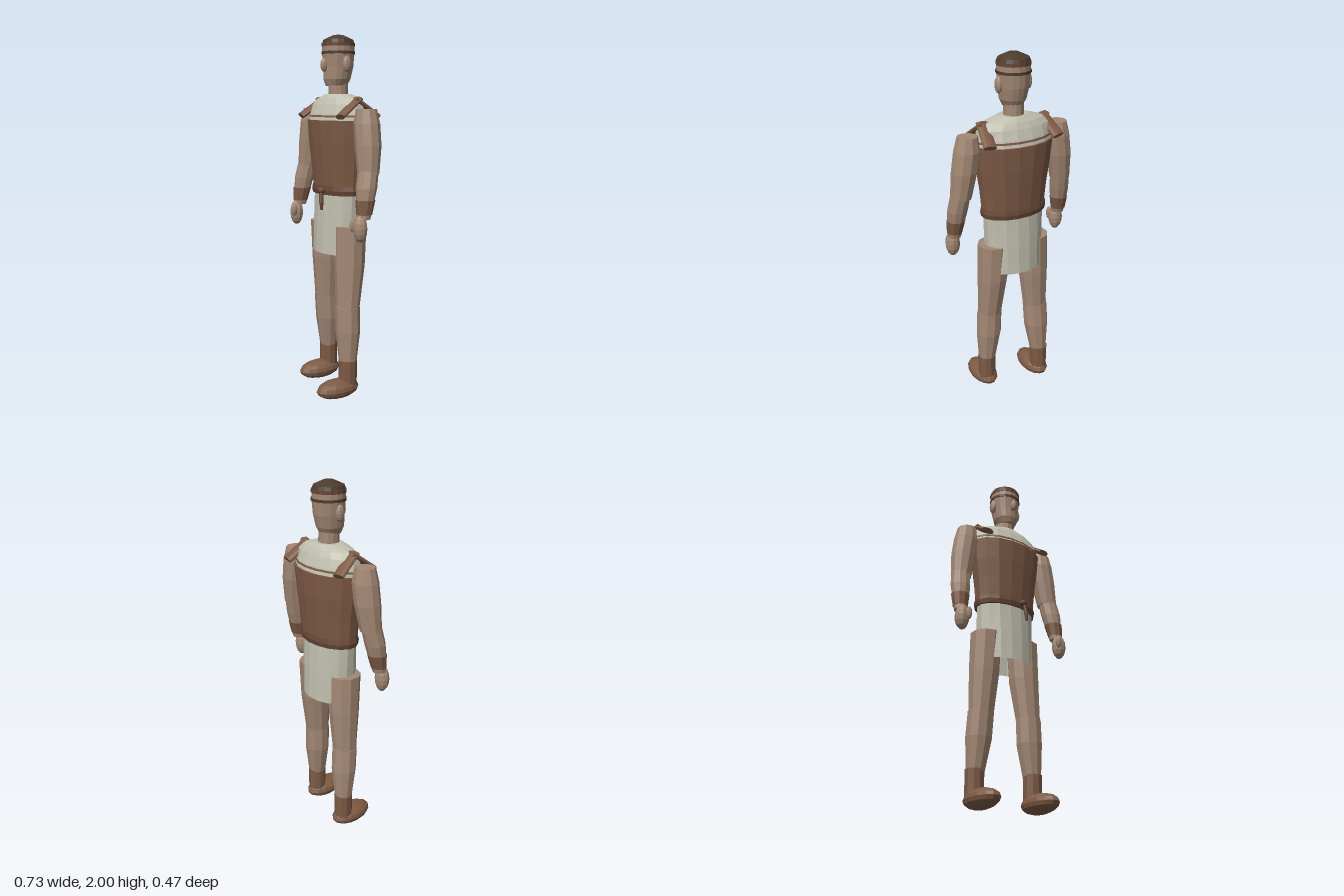
import * as THREE from 'three';

const mat = (name, color) => {
  const m = new THREE.MeshStandardMaterial({ color });
  m.name = name;
  return m;
};

// Faceted normals for a low-poly look
function facet(geo) {
  const g = geo.index ? geo.toNonIndexed() : geo;
  g.computeVertexNormals();
  return g;
}

// Skin over elliptical rings listed from bottom to top: [x, y, z, rx, rz]
function loft(rings, sides = 10, caps = true) {
  const pos = [], idx = [];
  for (const [x, y, z, rx, rz = rx] of rings)
    for (let j = 0; j < sides; j++) {
      const t = ((j + 0.5) / sides) * Math.PI * 2;
      pos.push(x + rx * Math.cos(t), y, z + rz * Math.sin(t));
    }
  for (let i = 0; i < rings.length - 1; i++)
    for (let j = 0; j < sides; j++) {
      const k = (j + 1) % sides;
      const a = i * sides + j, b = i * sides + k, c = a + sides, d = b + sides;
      idx.push(a, c, b, b, c, d);
    }
  if (caps) {
    const top = (rings.length - 1) * sides;
    for (let j = 1; j < sides - 1; j++) {
      idx.push(0, j, j + 1);
      idx.push(top, top + j + 1, top + j);
    }
  }
  const g = new THREE.BufferGeometry();
  g.setAttribute('position', new THREE.Float32BufferAttribute(pos, 3));
  g.setIndex(idx);
  return facet(g);
}

export function createModel() {
  const skin = mat('skin', 0xa38874);
  const leather = mat('leather brown', 0x7d5a45);
  const belt = mat('belt brown', 0x664735);
  const hat = mat('cap dark brown', 0x4d3b2e);
  const cream = mat('cream cloth', 0xc1bfae);
  cream.side = THREE.DoubleSide;

  // The whole figure stands turned a little about the vertical
  const body = new THREE.Group();
  body.name = 'figure';
  body.position.set(0.01, 0, -0.05);
  body.rotation.y = -0.35;

  const add = (name, geo, material) => {
    const m = new THREE.Mesh(geo, material);
    m.name = name;
    body.add(m);
    return m;
  };
  const ball = (name, material, p, s, w = 10, h = 8) => {
    const m = add(name, facet(new THREE.SphereGeometry(1, w, h)), material);
    m.position.set(...p);
    m.scale.set(...s);
    return m;
  };

  // Torso clothing
  add('tunic', loft([
    [0, 1.17, 0, 0.188, 0.115], [0, 1.3, 0, 0.2, 0.127],
    [0, 1.42, 0, 0.218, 0.138], [0, 1.545, 0, 0.232, 0.145],
  ], 16), leather);
  add('belt', loft([
    [0, 1.14, 0, 0.192, 0.12], [0, 1.165, 0, 0.197, 0.125], [0, 1.19, 0, 0.19, 0.12],
  ], 16), belt);
  add('yoke', loft([
    [0, 1.53, 0, 0.226, 0.138], [0, 1.58, 0, 0.222, 0.125], [0, 1.63, 0, 0.212, 0.105],
    [0, 1.66, 0, 0.17, 0.088], [0, 1.685, 0, 0.085, 0.067],
  ], 16), cream);
  add('yokeTrim', loft([
    [0, 1.562, 0, 0.226, 0.132], [0, 1.572, 0, 0.225, 0.13],
  ], 16), leather);
  add('skirt', loft([
    [0, 0.81, 0, 0.172, 0.126], [0, 0.98, 0, 0.174, 0.12], [0, 1.15, 0, 0.18, 0.11],
  ], 16, false), cream);

  // Belt knot with hanging end
  ball('beltKnot', belt, [0.035, 1.165, 0.132], [0.023, 0.02, 0.02]);
  add('beltEnd', loft([
    [0.052, 1.06, 0.14, 0.007], [0.05, 1.1, 0.14, 0.012], [0.04, 1.16, 0.135, 0.011],
  ], 8), belt);

  // Neck, head and cap
  add('neck', loft([[0, 1.66, 0, 0.056], [0, 1.78, 0, 0.054]], 12), skin);
  add('head', loft([
    [0, 1.73, 0.012, 0.052, 0.06], [0, 1.765, 0.008, 0.071, 0.075],
    [0, 1.83, 0, 0.08, 0.083], [0, 1.9, 0, 0.088], [0, 1.95, 0, 0.088],
  ], 16), skin);
  add('headband', loft([[0, 1.899, 0, 0.092], [0, 1.913, 0, 0.092]], 16), hat);
  add('capRim', loft([[0, 1.94, 0, 0.091], [0, 1.957, 0, 0.091]], 16), belt);
  add('cap', loft([
    [0, 1.95, 0, 0.09], [0, 1.976, 0, 0.081], [0, 2, 0, 0.028],
  ], 16), hat);
  ball('nose', skin, [0, 1.84, 0.09], [0.02, 0.037, 0.022]);

  for (const s of [1, -1]) {
    const side = s > 0 ? 'left' : 'right';
    ball(side + 'Ear', skin, [s * 0.088, 1.845, 0], [0.018, 0.044, 0.026]);

    // Shoulder straps: flat bars falling to front and back
    for (const f of [1, -1]) {
      const from = new THREE.Vector3(s * 0.178, 1.658, -f * 0.012);
      const to = new THREE.Vector3(s * 0.205, 1.565, f * 0.118);
      const dir = to.clone().sub(from);
      const strap = add(side + (f > 0 ? 'FrontStrap' : 'BackStrap'),
        facet(new THREE.CylinderGeometry(0.036, 0.036, dir.length(), 12)), leather);
      const up = dir.clone().normalize();
      const across = new THREE.Vector3(1, 0, 0).addScaledVector(up, -up.x).normalize();
      const out = across.clone().cross(up);
      strap.quaternion.setFromRotationMatrix(new THREE.Matrix4().makeBasis(across, up, out));
      strap.position.copy(from).add(to).multiplyScalar(0.5);
      strap.scale.z = 0.45;
    }

    // Arm
    add(side + 'UpperArm', loft([
      [s * 0.311, 1.275, 0.012, 0.058], [s * 0.293, 1.42, 0.002, 0.07],
      [s * 0.277, 1.53, 0, 0.07], [s * 0.272, 1.607, 0, 0.055],
    ]), skin);
    add(side + 'Forearm', loft([
      [s * 0.335, 1.04, 0.057, 0.036], [s * 0.324, 1.2, 0.032, 0.056],
      [s * 0.313, 1.29, 0.014, 0.055],
    ]), skin);
    add(side + 'Cuff', loft([
      [s * 0.335, 1.065, 0.053, 0.042], [s * 0.33, 1.14, 0.042, 0.052],
    ]), leather);
    ball(side + 'Hand', skin, [s * 0.337, 0.992, 0.078], [0.041, 0.074, 0.038]);
    ball(side + 'Thumb', skin, [s * 0.312, 1.01, 0.108], [0.017, 0.038, 0.017], 8, 6);

    // Leg, the left one set forward
    const step = s * 0.036;
    add(side + 'Thigh', loft([
      [s * 0.143, 0.5, 0.008 + step * 0.55, 0.069, 0.064],
      [s * 0.13, 0.75, step * 0.2, 0.086, 0.084], [s * 0.125, 0.97, 0, 0.09],
    ]), skin);
    add(side + 'Shin', loft([
      [s * 0.16, 0.17, step, 0.046], [s * 0.148, 0.38, 0.003 + step * 0.7, 0.073, 0.068],
      [s * 0.143, 0.52, 0.008 + step * 0.55, 0.073, 0.068],
    ]), skin);
    add(side + 'BootShaft', loft([
      [s * 0.16, 0.06, step, 0.051], [s * 0.16, 0.215, step, 0.053],
    ]), leather);
    ball(side + 'Shoe', leather, [s * 0.157, 0.057, step + 0.064],
      [0.074, 0.053, 0.132], 14, 8);
  }

  const root = new THREE.Group();
  root.name = 'standingFigure';
  root.add(body);
  return root;
}
